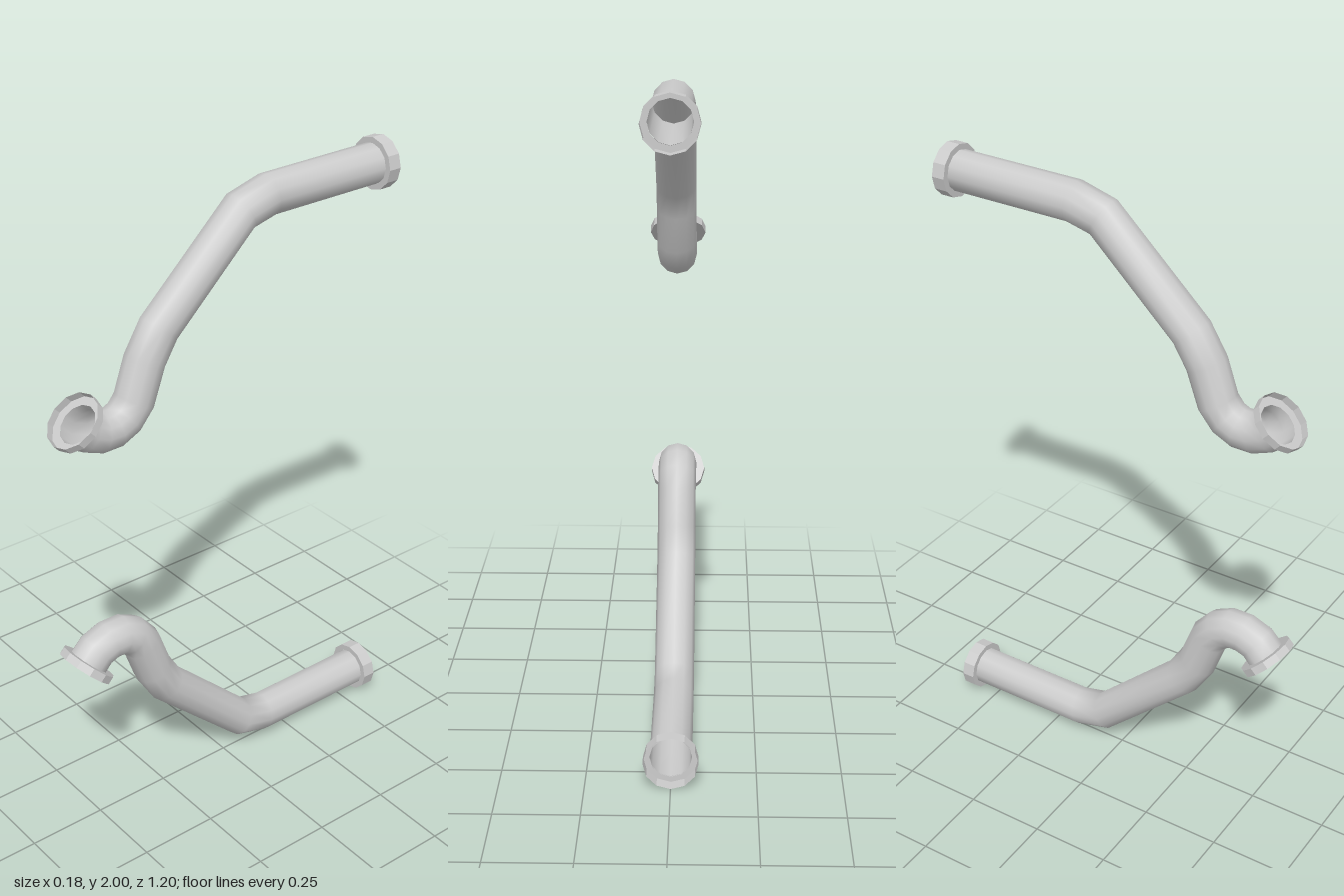
import * as THREE from 'three';

const SIDES = 12;
const PIPE_R = 0.062;

const smoothMat = new THREE.MeshStandardMaterial({ color: 0xcccccc, side: THREE.DoubleSide });
const flatMat = new THREE.MeshStandardMaterial({ color: 0xcccccc, side: THREE.DoubleSide, flatShading: true });

// Centre line of the upper pipe as [z, y], from the rear collar to the front flange
const PATH = [
  [-0.56, 1.92], [-0.16, 1.92], [-0.062, 1.894], [0.231, 1.617], [0.283, 1.532],
  [0.323, 1.42], [0.358, 1.378], [0.398, 1.359], [0.444, 1.359], [0.488, 1.376], [0.516, 1.406],
];

// Open tube: one ring per path point, each square to the local direction
function sweptPipe(path, radius) {
  const positions = [], index = [];
  path.forEach(([z, y], i) => {
    const before = path[Math.max(i - 1, 0)], after = path[Math.min(i + 1, path.length - 1)];
    const unit = (a, b) => new THREE.Vector2(b[0] - a[0], b[1] - a[1]).normalize();
    const dir = unit(before, [z, y]).add(unit([z, y], after)).normalize();
    for (let s = 0; s < SIDES; s++) {
      const a = (s / SIDES) * Math.PI * 2;
      const c = Math.cos(a) * radius;
      positions.push(Math.sin(a) * radius, y + c * dir.x, z - c * dir.y);
      if (i > 0) {
        const n = (s + 1) % SIDES, p = (i - 1) * SIDES, q = i * SIDES;
        index.push(p + s, q + s, p + n, p + n, q + s, q + n);
      }
    }
  });
  const geo = new THREE.BufferGeometry();
  geo.setAttribute('position', new THREE.Float32BufferAttribute(positions, 3));
  geo.setIndex(index);
  geo.computeVertexNormals();
  return geo;
}

// Thin cup around a pipe mouth: an annular floor and an open rim wall
function cup(name, radius, depth, z, y, dirZ, dirY) {
  const profile = [[PIPE_R, 0], [radius, 0], [radius, depth]].map(([r, h]) => new THREE.Vector2(r, h));
  const mesh = new THREE.Mesh(new THREE.LatheGeometry(profile, SIDES), flatMat);
  mesh.name = name;
  mesh.position.set(0, y, z);
  mesh.rotation.x = Math.atan2(dirZ, dirY);
  return mesh;
}

function pipeAssembly(name) {
  const group = new THREE.Group();
  group.name = name;
  const pipe = new THREE.Mesh(sweptPipe(PATH, PIPE_R), smoothMat);
  pipe.name = 'bentPipe';
  group.add(
    pipe,
    cup('rearCollar', 0.081, 0.042, -0.558, 1.919, -1, 0),
    cup('frontFlange', 0.089, 0.025, 0.516, 1.406, 0.68, 0.73),
  );
  return group;
}

export function createModel() {
  const model = new THREE.Group();
  model.name = 'pipePair';
  const upper = pipeAssembly('upperPipe');
  // The lower pipe is the upper one turned over about the mid-height
  const lower = pipeAssembly('lowerPipe');
  lower.rotation.z = Math.PI;
  lower.position.y = 2;
  model.add(upper, lower);
  return model;
}
